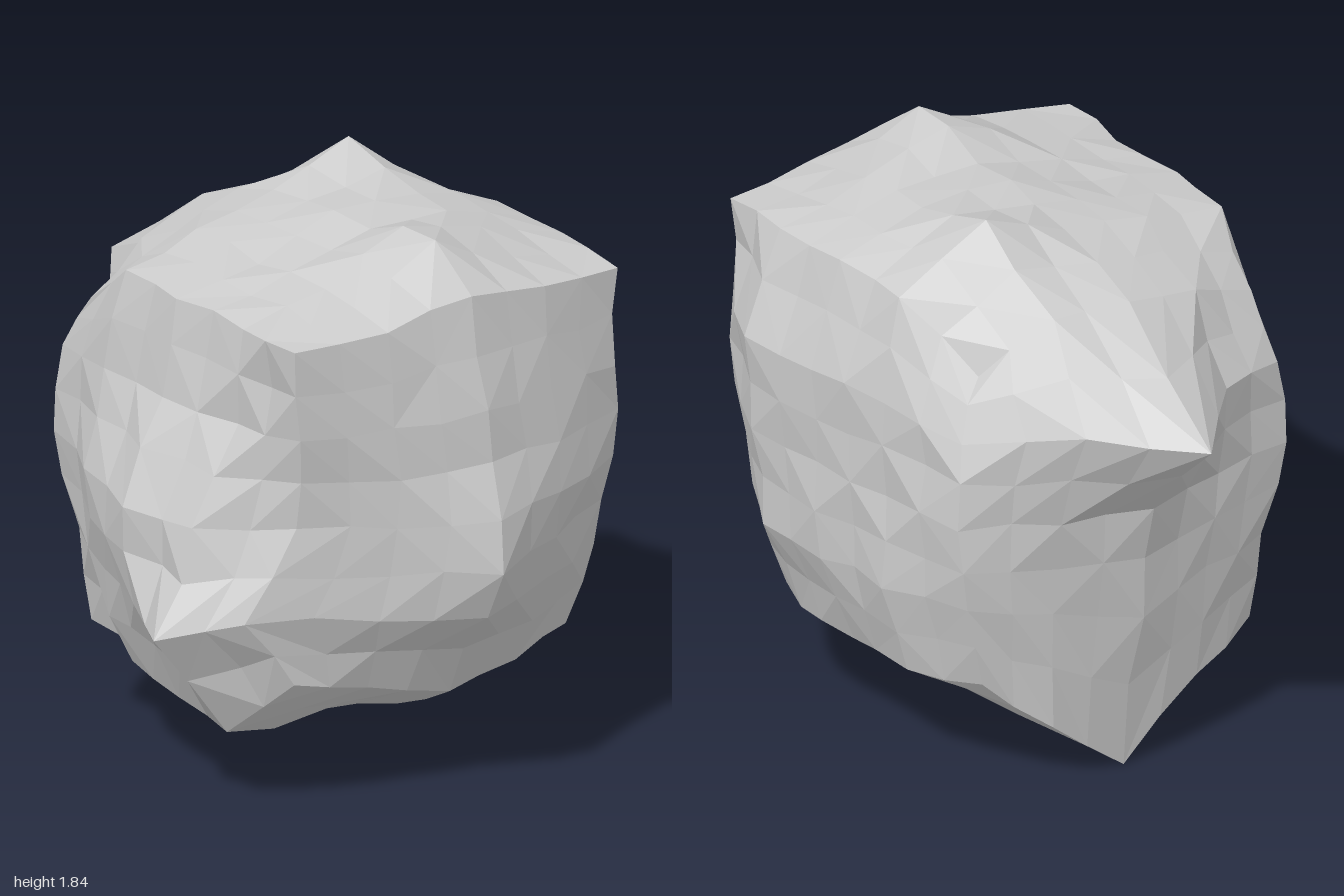
import * as THREE from 'three';

const SEG = 8;
const centre = [0.08, 0.98, 0.15];
const half = [0.61, 0.65, 0.62];

// Relief of each face on a 5 x 5 grid: absolute position along the face's axis.
// Side faces: rows run top to bottom. Top and bottom: rows run front to back.
// Columns run -x to +x, or front to back on the left and right faces.
const relief = {
  front: [
    [0.73, 0.80, 0.82, 0.80, 0.76],
    [0.71, 0.83, 0.90, 0.84, 0.77],
    [0.67, 0.83, 0.925, 0.88, 0.75],
    [0.61, 0.79, 0.88, 0.81, 0.66],
    [0.63, 0.68, 0.70, 0.68, 0.61]],
  back: [
    [-0.38, -0.46, -0.52, -0.48, -0.37],
    [-0.52, -0.62, -0.76, -0.72, -0.43],
    [-0.52, -0.58, -0.67, -0.60, -0.47],
    [-0.48, -0.55, -0.59, -0.55, -0.46],
    [-0.43, -0.50, -0.49, -0.50, -0.45]],
  right: [
    [-0.53, -0.53, -0.53, -0.52, -0.46],
    [-0.50, -0.55, -0.60, -0.57, -0.50],
    [-0.49, -0.69, -0.75, -0.65, -0.50],
    [-0.62, -0.74, -0.71, -0.61, -0.46],
    [-0.46, -0.57, -0.55, -0.50, -0.41]],
  left: [
    [0.69, 0.70, 0.70, 0.66, 0.55],
    [0.69, 0.82, 0.81, 0.74, 0.64],
    [0.70, 0.82, 0.80, 0.74, 0.66],
    [0.69, 0.79, 0.78, 0.74, 0.65],
    [0.63, 0.68, 0.67, 0.65, 0.57]],
  top: [
    [1.60, 1.63, 1.605, 1.63, 1.62],
    [1.61, 1.67, 1.75, 1.73, 1.64],
    [1.62, 1.67, 1.765, 1.75, 1.65],
    [1.61, 1.67, 1.73, 1.77, 1.63],
    [1.44, 1.56, 1.62, 1.60, 1.43]],
  bottom: [
    [0.47, 0.40, 0.34, 0.36, 0.42],
    [0.26, 0.25, 0.23, 0.25, 0.35],
    [0.29, 0.23, 0.16, 0.23, 0.35],
    [0.33, 0.22, 0.13, 0.20, 0.35],
    [0.36, 0.24, 0.12, 0.20, 0.40]],
};

// Sharp points: face, column and row in grid steps, added height, radius in steps
const peaks = [
  ['front', 4, 5, 0.0975, 2], ['back', 4, 2, -0.24, 2], ['right', 2, 6, -0.11, 1.5],
  ['left', 2, 2, 0.03, 1.5], ['top', 4, 1, 0.1325, 2], ['top', 6, 6, 0.07, 1.8],
  ['bottom', 4, 8, -0.12, 1.5],
];

const rough = { front: 0.006, left: 0.014, right: 0.02, top: 0.01, back: 0.01, bottom: 0.014 };
const faceNames = [['right', 'left'], ['bottom', 'top'], ['back', 'front']];

// Repeatable noise in -1..1 for a grid point
function noise(i, j, k, seed) {
  const s = Math.sin(i * 12.99 + j * 78.23 + k * 37.72 + seed * 19.19) * 43758.545;
  return 2 * (s - Math.floor(s)) - 1;
}

// Position along one axis of a grid point lying on a face of that axis
function faceHeight(axis, [i, j, k]) {
  const name = faceNames[axis][[i, j, k][axis] ? 1 : 0];
  const [u, v] = [[SEG - k, SEG - j], [i, SEG - k], [i, SEG - j]][axis];
  const grid = relief[name];
  const c = Math.min(3, Math.floor(u / 2)), r = Math.min(3, Math.floor(v / 2));
  const fu = u / 2 - c, fv = v / 2 - r;
  const mix = THREE.MathUtils.lerp;
  let h = mix(mix(grid[r][c], grid[r][c + 1], fu), mix(grid[r + 1][c], grid[r + 1][c + 1], fu), fv);
  let grain = rough[name];
  for (const [face, pu, pv, amount, radius] of peaks) {
    if (face !== name) continue;
    const d = Math.hypot(u - pu, v - pv);
    h += amount * Math.max(0, 1 - d / radius);
    if (d === 0) grain = 0;
  }
  return h + grain * noise(i, j, k, axis);
}

// Moves one point of the gridded cube onto the rock
function shapePoint(idx) {
  return idx.map((n, a) => {
    if (n === 0 || n === SEG) return faceHeight(a, idx);
    // Inside a face, follow the shifted edges on either side
    const t = n / SEG;
    const shift = (end) => {
      const edge = idx.map((m, b) => (b === a ? end : m));
      return faceHeight(a, edge) - (centre[a] + half[a] * (end ? 1 : -1));
    };
    const follow = shift(0) * (1 - t) ** 4 + shift(SEG) * t ** 4;
    return centre[a] + half[a] * (2 * t - 1) + follow + 0.012 * noise(...idx, a + 3);
  });
}

export function createModel() {
  const group = new THREE.Group();
  group.name = 'rock';

  // Boulder: a gridded cube with bulging, rough faces
  const box = new THREE.BoxGeometry(2, 2, 2, SEG, SEG, SEG);
  const pos = box.attributes.position;
  const step = (t) => Math.round((t + 1) * SEG / 2);
  for (let n = 0; n < pos.count; n++) {
    pos.setXYZ(n, ...shapePoint([pos.getX(n), pos.getY(n), pos.getZ(n)].map(step)));
  }

  // Split each quad along its outer diagonal so ridges and points stay crisp
  const middle = new THREE.Vector3(...centre);
  const corner = (n) => new THREE.Vector3().fromBufferAttribute(pos, n);
  const reach = (m, n) => corner(m).lerp(corner(n), 0.5).distanceTo(middle);
  const faces = [];
  for (let q = 0; q < box.index.count; q += 6) {
    const [a, b, d, , c] = box.index.array.slice(q, q + 6);
    faces.push(...(reach(a, c) > reach(b, d) ? [a, b, c, a, c, d] : [a, b, d, b, c, d]));
  }
  box.setIndex(faces);
  const geometry = box.toNonIndexed();
  geometry.computeVertexNormals();

  const material = new THREE.MeshStandardMaterial({ color: 0xcccccc, flatShading: true });
  const boulder = new THREE.Mesh(geometry, material);
  boulder.name = 'boulder';
  group.add(boulder);
  return group;
}
